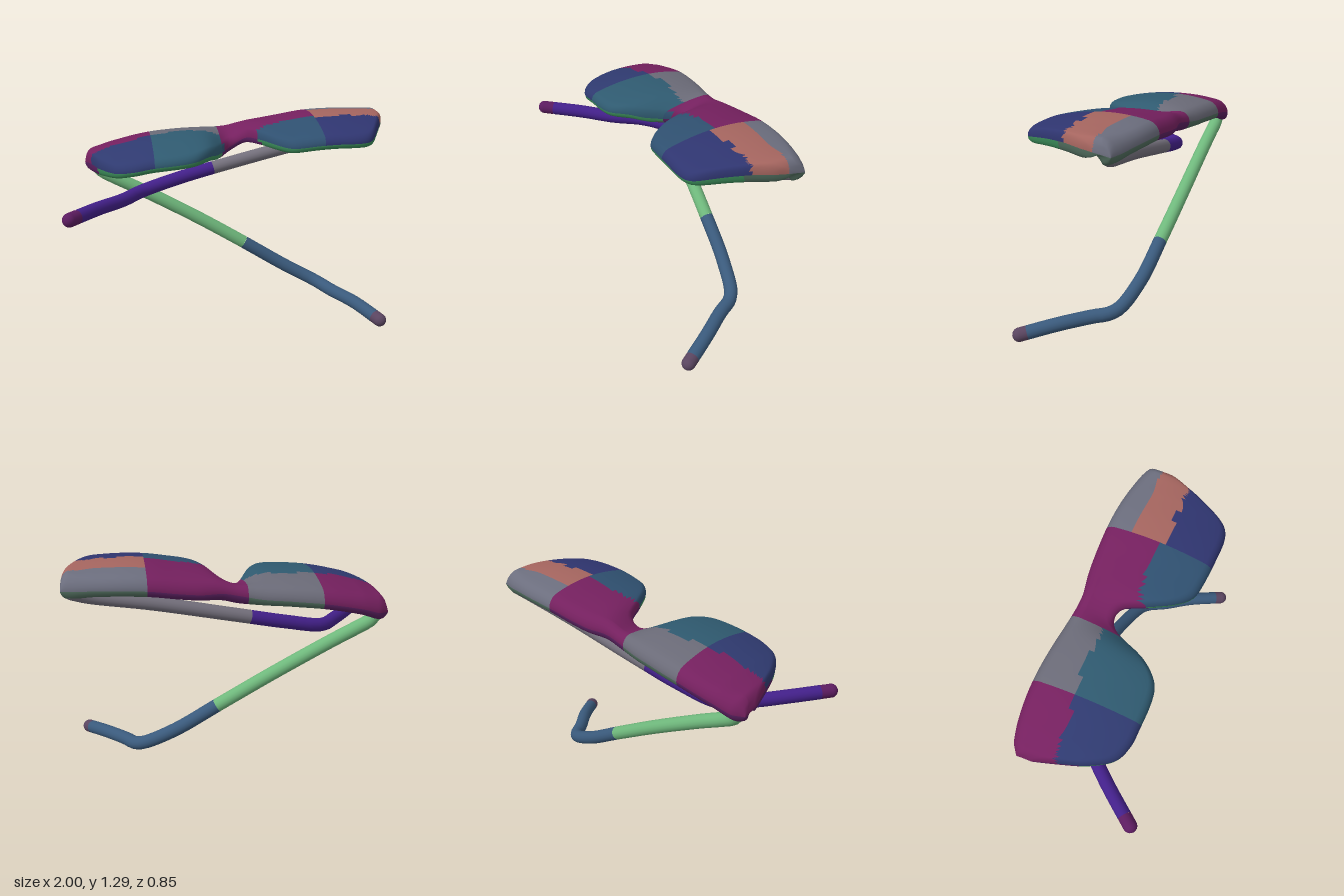
import * as THREE from 'three';

// smooth interpolation through [x, value] pairs
function interp(table, x) {
  let k = 0;
  while (k < table.length - 2 && x > table[k + 1][0]) k++;
  const slope = (n) => {
    const a = table[Math.max(n - 1, 0)], b = table[Math.min(n + 1, table.length - 1)];
    return (b[1] - a[1]) / (b[0] - a[0]);
  };
  const [x0, v0] = table[k], [x1, v1] = table[k + 1];
  const w = x1 - x0, t = THREE.MathUtils.clamp((x - x0) / w, 0, 1), t2 = t * t, t3 = t2 * t;
  return (2 * t3 - 3 * t2 + 1) * v0 + (t3 - 2 * t2 + t) * w * slope(k)
    + (3 * t2 - 2 * t3) * v1 + (t3 - t2) * w * slope(k + 1);
}

// outline of the panel (brow edge, lower edge) and its height across the width
const BROW = [[-0.87, -0.345], [-0.8, -0.39], [-0.6, -0.42], [-0.4, -0.42], [-0.2, -0.4], [0, -0.37],
  [0.1, -0.365], [0.25, -0.39], [0.5, -0.4], [0.7, -0.39], [0.9, -0.355], [0.995, -0.325]];
const LOWER = [[-0.87, -0.25], [-0.82, -0.07], [-0.78, 0.05], [-0.7, 0.18], [-0.6, 0.23], [-0.5, 0.24],
  [-0.3, 0.24], [-0.2, 0.205], [-0.1, 0.09], [-0.05, -0.02], [0, -0.115], [0.06, -0.145], [0.12, -0.11],
  [0.17, 0.01], [0.24, 0.14], [0.32, 0.225], [0.4, 0.25], [0.6, 0.265], [0.75, 0.26], [0.82, 0.215],
  [0.9, 0.05], [0.94, -0.05], [0.98, -0.15], [0.995, -0.23]];
const HEIGHT = [[-0.87, 1.005], [-0.8, 1.03], [-0.7, 1.07], [-0.5, 1.118], [-0.3, 1.138], [-0.1, 1.145],
  [0, 1.16], [0.08, 1.175], [0.2, 1.185], [0.35, 1.207], [0.5, 1.23], [0.65, 1.238], [0.8, 1.233],
  [0.9, 1.222], [0.995, 1.21]];

const XMIN = -0.87, XMAX = 0.995, SPAN = 16, ARC = 8;

// height of the panel's middle surface
function surface(x, z) {
  const d = z + 0.1;
  const bulge = d > 0 ? 0.056 * (d / 0.36) ** 2 : 0.045 * (d / 0.3) ** 2;
  const noseDip = 0.33 * (z + 0.37) * Math.exp(-(((x - 0.02) / 0.1) ** 2));
  return interp(HEIGHT, x) - bulge - noseDip;
}

// closed cross-section: top, thick brow edge, hollow underside, lower edge
function crossSection(x) {
  const back = interp(BROW, x), front = interp(LOWER, x);
  const half = (front - back) / 2;
  const inset = Math.min(x - XMIN, XMAX - x), d = inset / 0.05;
  const round = d < 1 ? Math.sqrt(Math.max(0, 1 - (1 - d) ** 2)) : 1;
  // the panel thickens towards the hinges
  const hinge = 0.016 * Math.exp(-((inset / 0.13) ** 2));
  const rBack = Math.min(0.056 + hinge, half) * round, rFront = Math.min(0.041 + hinge, half) * round;
  const z0 = front - rFront, z1 = back + rBack;
  const pts = [];
  const add = (z, off) => pts.push([x, surface(x, z) + off, z]);
  const lerp = THREE.MathUtils.lerp;
  for (let k = 0; k <= SPAN; k++) add(lerp(z0, z1, k / SPAN), lerp(rFront, rBack, k / SPAN));
  for (let k = 1; k < ARC; k++) {
    const a = Math.PI * k / ARC;
    add(z1 - rBack * Math.sin(a), rBack * Math.cos(a));
  }
  for (let k = 0; k <= SPAN; k++) {
    const t = k / SPAN, hollow = 0.65 * (1 - (2 * t - 1) ** 2);
    add(lerp(z1, z0, t), lerp(rBack, rFront, t) * (hollow - 1));
  }
  for (let k = 1; k < ARC; k++) {
    const a = Math.PI * k / ARC;
    add(z0 + rFront * Math.sin(a), -rFront * Math.cos(a));
  }
  return pts;
}

// colour patches of the panel
function patchColor(x, z, under) {
  if (under) return z > 0 ? 0x3a8a58 : x < -0.47 || (x > -0.05 && x < 0.52) ? 0x5a2060 : 0x4f6b5c;
  if (x < -0.47) return z < -0.12 ? 0x75205f : 0x2f3a70;
  if (x < -0.05) return z < -0.15 ? 0x6b6b78 : 0x2f5a70;
  if (x < 0.52) return z < -0.05 ? 0x75205f : 0x2f5070;
  if (z < -0.22) return 0x6c6e7e;
  return z < -0.02 ? 0xa5655f : 0x2f3570;
}

function buildPanel() {
  const group = new THREE.Group();
  group.name = 'lensPanel';
  const N = 140, pos = [], all = [], patches = new Map();
  const rings = [];
  for (let i = 0; i <= N; i++) {
    const x = (XMIN + XMAX) / 2 - Math.cos(Math.PI * i / N) * (XMAX - XMIN) / 2;
    rings.push(crossSection(x));
    rings[i].forEach((p) => pos.push(...p));
  }
  const M = rings[0].length;
  for (let i = 0; i < N; i++) {
    for (let j = 0; j < M; j++) {
      const j2 = (j + 1) % M;
      const a = i * M + j, b = a + M, c = (i + 1) * M + j2, d = i * M + j2;
      const under = j >= SPAN + ARC / 2 && j < M - ARC / 2;
      const color = patchColor(rings[i][j][0], rings[i][j][2], under);
      if (!patches.has(color)) patches.set(color, []);
      patches.get(color).push(a, b, c, a, c, d);
      all.push(a, b, c, a, c, d);
    }
  }
  // normals come from the whole panel so the patches join smoothly
  const whole = new THREE.BufferGeometry();
  whole.setAttribute('position', new THREE.Float32BufferAttribute(pos, 3));
  whole.setIndex(all);
  whole.computeVertexNormals();
  let n = 1;
  for (const [color, index] of patches) {
    const geo = new THREE.BufferGeometry();
    geo.setAttribute('position', whole.attributes.position);
    geo.setAttribute('normal', whole.attributes.normal);
    geo.setIndex(index);
    const mesh = new THREE.Mesh(geo, new THREE.MeshStandardMaterial({ color }));
    mesh.name = 'panelPatch' + n++;
    group.add(mesh);
  }
  return group;
}

// temple arm: a tube along the points, cut into coloured lengths, with round ends
function buildArm(name, points, radius, sections) {
  const group = new THREE.Group();
  group.name = name;
  const curve = new THREE.CatmullRomCurve3(points.map((p) => new THREE.Vector3(...p)), false, 'centripetal');
  const add = (geo, color, part) => {
    const mesh = new THREE.Mesh(geo, new THREE.MeshStandardMaterial({ color }));
    mesh.name = part;
    group.add(mesh);
    return mesh;
  };
  sections.forEach(([from, to, color], s) => {
    const pts = [];
    for (let k = 0; k <= 16; k++) pts.push(curve.getPointAt(from + (to - from) * k / 16));
    const part = new THREE.CatmullRomCurve3(pts);
    add(new THREE.TubeGeometry(part, 32, radius, 16), color, 'armSection' + (s + 1));
  });
  const ends = [[0, sections[0][2], 'hingeEnd'], [1, sections.at(-1)[2], 'earTip']];
  for (const [t, color, part] of ends) {
    add(new THREE.SphereGeometry(radius, 20, 14), color, part).position.copy(curve.getPointAt(t));
  }
  return group;
}

export function createModel() {
  const model = new THREE.Group();
  model.name = 'sunglasses';
  model.add(buildPanel());

  // upper arm, folded across behind the panel
  model.add(buildArm('leftArm', [
    [0.935, 1.165, -0.29], [0.85, 1.13, -0.26], [0.5, 1.065, -0.24], [0, 0.955, -0.21], [-0.3, 0.885, -0.18],
    [-0.53, 0.83, -0.12], [-0.65, 0.82, 0.01], [-0.8, 0.83, 0.18], [-0.96, 0.838, 0.383],
  ], 0.041, [[0, 0.48, 0x74707c], [0.48, 0.97, 0x43208a], [0.97, 1, 0x5c1c60]]));

  // lower arm, reaching down to the ground
  model.add(buildArm('rightArm', [
    [-0.815, 0.975, -0.315], [-0.795, 0.935, -0.315], [-0.73, 0.89, -0.308], [-0.55, 0.795, -0.3], [-0.2, 0.6, -0.285],
    [0.1, 0.42, -0.265], [0.4, 0.235, -0.235], [0.6, 0.135, -0.17], [0.68, 0.113, -0.05], [0.79, 0.09, 0.1],
    [0.905, 0.043, 0.285],
  ], 0.041, [[0, 0.5, 0x6fb87c], [0.5, 0.98, 0x3a5a7c], [0.98, 1, 0x5a4560]]));
  return model;
}
